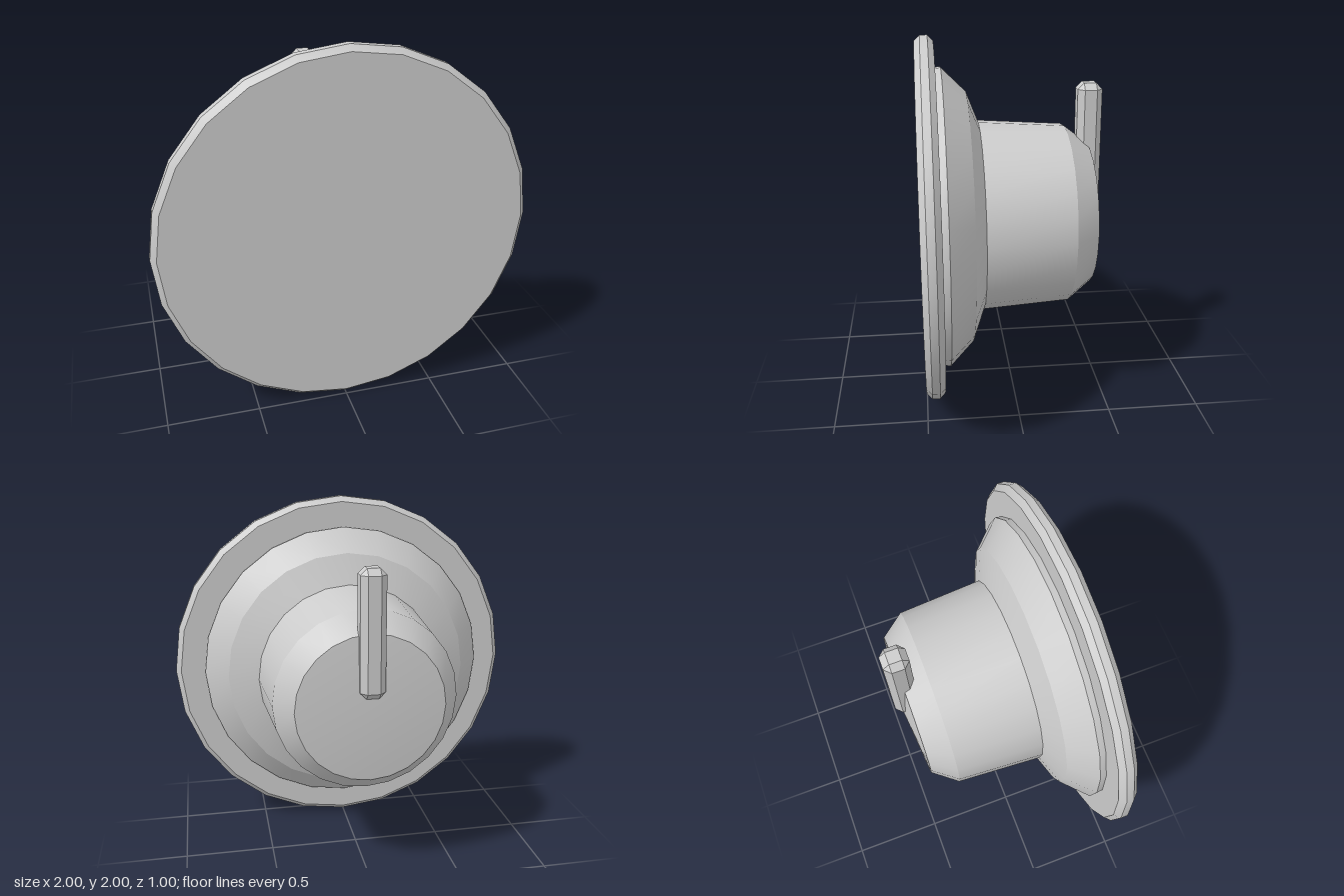
import * as THREE from 'three';
import { toCreasedNormals } from 'three/addons/utils/BufferGeometryUtils.js';
import { ConvexGeometry } from 'three/addons/geometries/ConvexGeometry.js';

const SIDES = 24;

// Turned part along z; profile is [radius, z] from back to front
function turned(name, profile, material) {
  const points = profile.map(([r, z]) => new THREE.Vector2(r, z));
  const geometry = new THREE.LatheGeometry(points, SIDES).rotateX(Math.PI / 2);
  const mesh = new THREE.Mesh(toCreasedNormals(geometry, THREE.MathUtils.degToRad(20)), material);
  mesh.name = name;
  return mesh;
}

// Box with every edge chamfered: each corner gives three points
function chamferedBox(w, h, d, c) {
  const points = [];
  for (const sx of [-1, 1]) for (const sy of [-1, 1]) for (const sz of [-1, 1]) {
    const x = w / 2, y = h / 2, z = d / 2;
    points.push(
      new THREE.Vector3(sx * x, sy * (y - c), sz * (z - c)),
      new THREE.Vector3(sx * (x - c), sy * y, sz * (z - c)),
      new THREE.Vector3(sx * (x - c), sy * (y - c), sz * z)
    );
  }
  return new ConvexGeometry(points);
}

export function createModel() {
  const model = new THREE.Group();
  model.name = 'knob';
  const grey = new THREE.MeshStandardMaterial({ color: 0xcccccc });
  grey.name = 'light grey';

  // Everything turned shares one axis at y = 1
  const body = new THREE.Group();
  body.name = 'turnedBody';
  body.position.y = 1;
  body.add(
    turned('flange', [[0, 0.4], [0.97, 0.4], [1, 0.43], [1, 0.47], [0.97, 0.5], [0, 0.5]], grey),
    turned('skirt', [[0.53, 0.17], [0.7, 0.235], [0.83, 0.365], [0.825, 0.4]], grey),
    turned('grip', [[0, -0.465], [0.4, -0.43], [0.5, -0.3], [0.53, 0.17]], grey)
  );
  model.add(body);

  // Upright pointer bar on the back cap
  const pointer = new THREE.Mesh(chamferedBox(0.134, 0.67, 0.134, 0.034), grey);
  pointer.name = 'pointer';
  pointer.position.set(0, 1.403, -0.433);
  model.add(pointer);

  return model;
}
